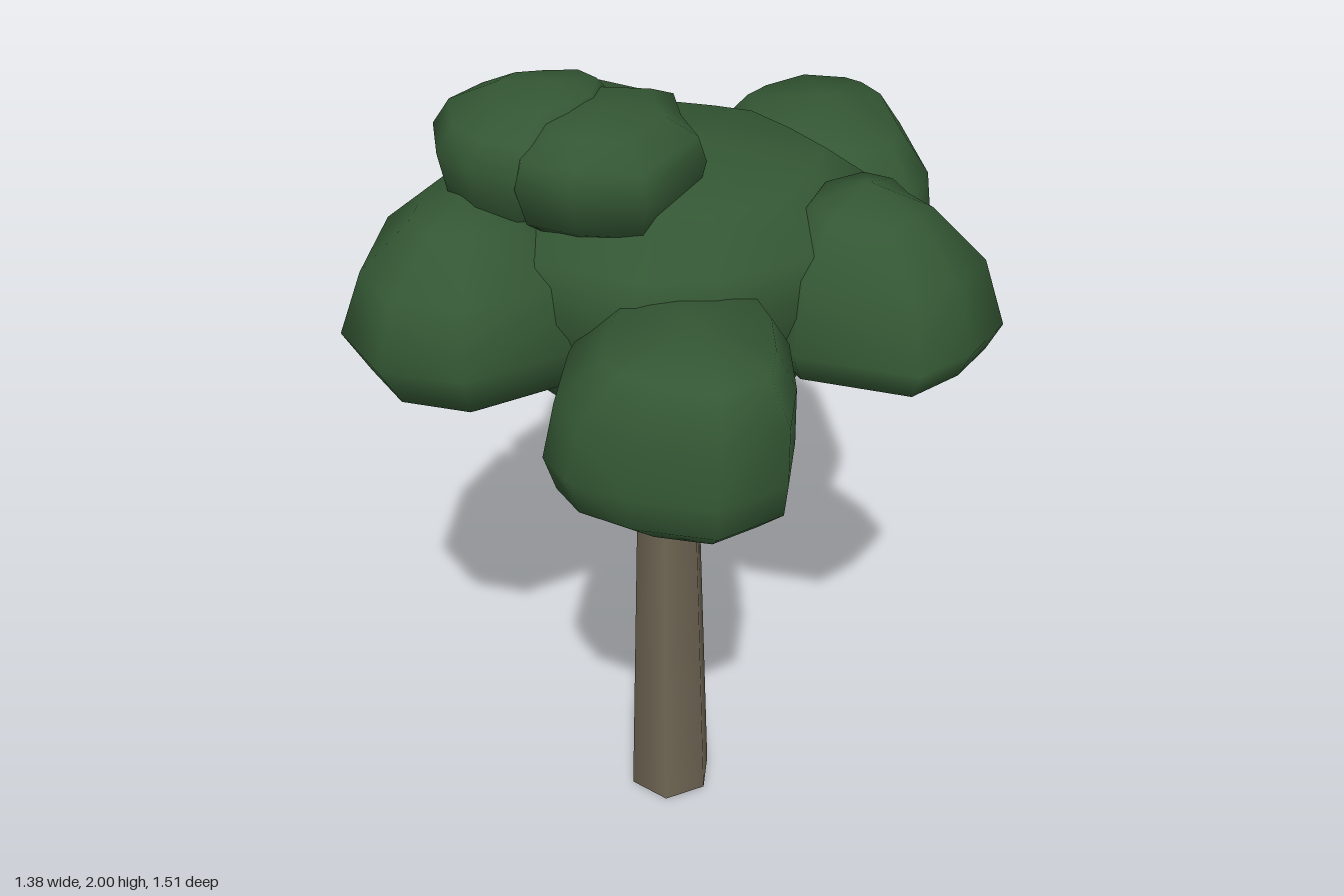
import * as THREE from 'three';
import { mergeVertices } from 'three/addons/utils/BufferGeometryUtils.js';

// Leaf clump: a plan outline [x, z] lofted between bottom and top, widest at height `mid`.
// `power` is the fullness of the [lower, upper] half; the shifts move the lower and upper poles in [x, z];
// `tilt` is the rise of the clump per unit along x.
function clumpGeometry({ outline, bottom, mid, top, power, bottomShift = [0, 0], topShift = [0, 0], tilt = 0 }) {
  const ring = outline.map(([x, z]) => new THREE.Vector2(x, z));
  if (THREE.ShapeUtils.area(ring) < 0) ring.reverse();
  const n = ring.length;
  const centre = ring.reduce((sum, p) => sum.add(p), new THREE.Vector2()).divideScalar(n);
  const levels = [-1, -0.86, -0.5, 0, 0.5, 0.86, 1];
  const last = levels.length - 1;
  const positions = [];
  const index = [];
  levels.forEach((v, j) => {
    const p = power[v < 0 ? 0 : 1];
    const shift = v < 0 ? bottomShift : topShift;
    const scale = Math.pow(1 - Math.pow(Math.abs(v), p), 1 / p);
    const y = mid + v * (v < 0 ? mid - bottom : top - mid);
    ring.forEach((point, i) => {
      const dx = (point.x - centre.x) * scale;
      positions.push(
        centre.x + dx + shift[0] * v * v,
        y + tilt * dx,
        centre.y + (point.y - centre.y) * scale + shift[1] * v * v);
      if (j === last) return;
      const a = j * n + i, b = j * n + (i + 1) % n, c = a + n, d = b + n;
      if (j < last - 1) index.push(a, c, d);
      if (j > 0) index.push(a, j < last - 1 ? d : c, b);
    });
  });
  let geometry = new THREE.BufferGeometry();
  geometry.setAttribute('position', new THREE.Float32BufferAttribute(positions, 3));
  geometry.setIndex(index);
  geometry = mergeVertices(geometry, 1e-4);
  geometry.computeVertexNormals();
  return geometry;
}

const clumps = {
  centreFoliage: {
    bottom: 1.22, mid: 1.62, top: 1.85, power: [1.9, 2.6], bottomShift: [-0.06, 0.06], topShift: [0.02, 0],
    outline: [[-0.18, -0.46], [0.03, -0.43], [0.16, -0.4], [0.3, -0.27], [0.43, -0.12], [0.38, 0.06],
      [0.3, 0.27], [0.1, 0.4], [-0.07, 0.43], [-0.3, 0.35], [-0.43, 0.1], [-0.44, -0.13], [-0.36, -0.28]],
  },
  frontFoliage: {
    bottom: 1.31, mid: 1.45, top: 1.72, power: [2.6, 2.7], bottomShift: [0.04, 0.06], topShift: [0.06, 0.06],
    outline: [[-0.23, 0.4], [-0.23, 0.6], [-0.17, 0.68], [-0.05, 0.73], [0.13, 0.75], [0.26, 0.65],
      [0.265, 0.5], [0.24, 0.32], [0.15, 0.12], [-0.1, 0.1], [-0.2, 0.22]],
  },
  rightFoliage: {
    bottom: 1.35, mid: 1.56, top: 1.82, power: [1.8, 1.8], bottomShift: [0.03, 0], topShift: [0.02, 0],
    outline: [[-0.62, -0.14], [-0.43, -0.14], [-0.27, -0.05], [-0.18, 0.15], [-0.2, 0.38], [-0.4, 0.52],
      [-0.58, 0.49], [-0.69, 0.35], [-0.69, 0.05]],
  },
  leftFoliage: {
    bottom: 1.4, mid: 1.53, top: 1.83, power: [2.2, 1.9], bottomShift: [-0.02, 0], topShift: [-0.05, 0], tilt: -0.08,
    outline: [[0.38, -0.18], [0.51, -0.15], [0.58, -0.02], [0.69, 0.09], [0.62, 0.23], [0.51, 0.35],
      [0.25, 0.33], [0.16, 0.18], [0.22, -0.04]],
  },
  backLeftFoliage: {
    bottom: 1.35, mid: 1.53, top: 1.78, power: [3.5, 2.7], bottomShift: [0, 0.05], tilt: -0.06,
    outline: [[0, -0.52], [0.06, -0.62], [0.19, -0.75], [0.34, -0.76], [0.4, -0.73], [0.47, -0.64],
      [0.54, -0.36], [0.51, -0.19], [0.37, -0.12], [0.15, -0.15], [0.03, -0.32]],
  },
  backRightFoliage: {
    bottom: 1.38, mid: 1.59, top: 1.78, power: [2.1, 2.2], topShift: [-0.03, -0.02],
    outline: [[-0.31, -0.7], [-0.43, -0.58], [-0.48, -0.43], [-0.49, -0.26], [-0.4, -0.17], [-0.2, -0.13],
      [-0.03, -0.25], [0.02, -0.48], [-0.03, -0.58]],
  },
  topOuterFoliage: {
    bottom: 1.69, mid: 1.89, top: 2.0, power: [2.2, 2.2], topShift: [0.07, -0.03],
    outline: [[-0.54, 0.02], [-0.48, -0.08], [-0.38, -0.11], [-0.25, -0.13], [-0.17, -0.06], [-0.17, 0.08],
      [-0.23, 0.2], [-0.32, 0.28], [-0.42, 0.25], [-0.5, 0.17]],
  },
  topInnerFoliage: {
    bottom: 1.7, mid: 1.87, top: 1.985, power: [2.2, 2.4], topShift: [0, 0.02],
    outline: [[-0.2, -0.12], [-0.03, -0.12], [0, 0], [0.05, 0.11], [-0.05, 0.32], [-0.2, 0.32],
      [-0.32, 0.28], [-0.36, 0.13], [-0.3, -0.03]],
  },
};

export function createModel() {
  const tree = new THREE.Group();
  tree.name = 'tree';

  const leafGreen = new THREE.MeshStandardMaterial({ color: 0x345734 });
  leafGreen.name = 'leafGreen';
  const barkBrown = new THREE.MeshStandardMaterial({ color: 0x6e6553, side: THREE.DoubleSide });
  barkBrown.name = 'barkBrown';

  // Tapered six-sided hollow trunk, running up into the crown
  const trunk = new THREE.Mesh(new THREE.CylinderGeometry(0.07, 0.11, 1.3, 6, 1, true), barkBrown);
  trunk.name = 'trunk';
  trunk.position.set(-0.05, 0.65, -0.025);
  tree.add(trunk);

  // Crown of overlapping leaf clumps
  const crown = new THREE.Group();
  crown.name = 'crown';
  for (const [name, shape] of Object.entries(clumps)) {
    const clump = new THREE.Mesh(clumpGeometry(shape), leafGreen);
    clump.name = name;
    crown.add(clump);
  }
  tree.add(crown);
  return tree;
}
